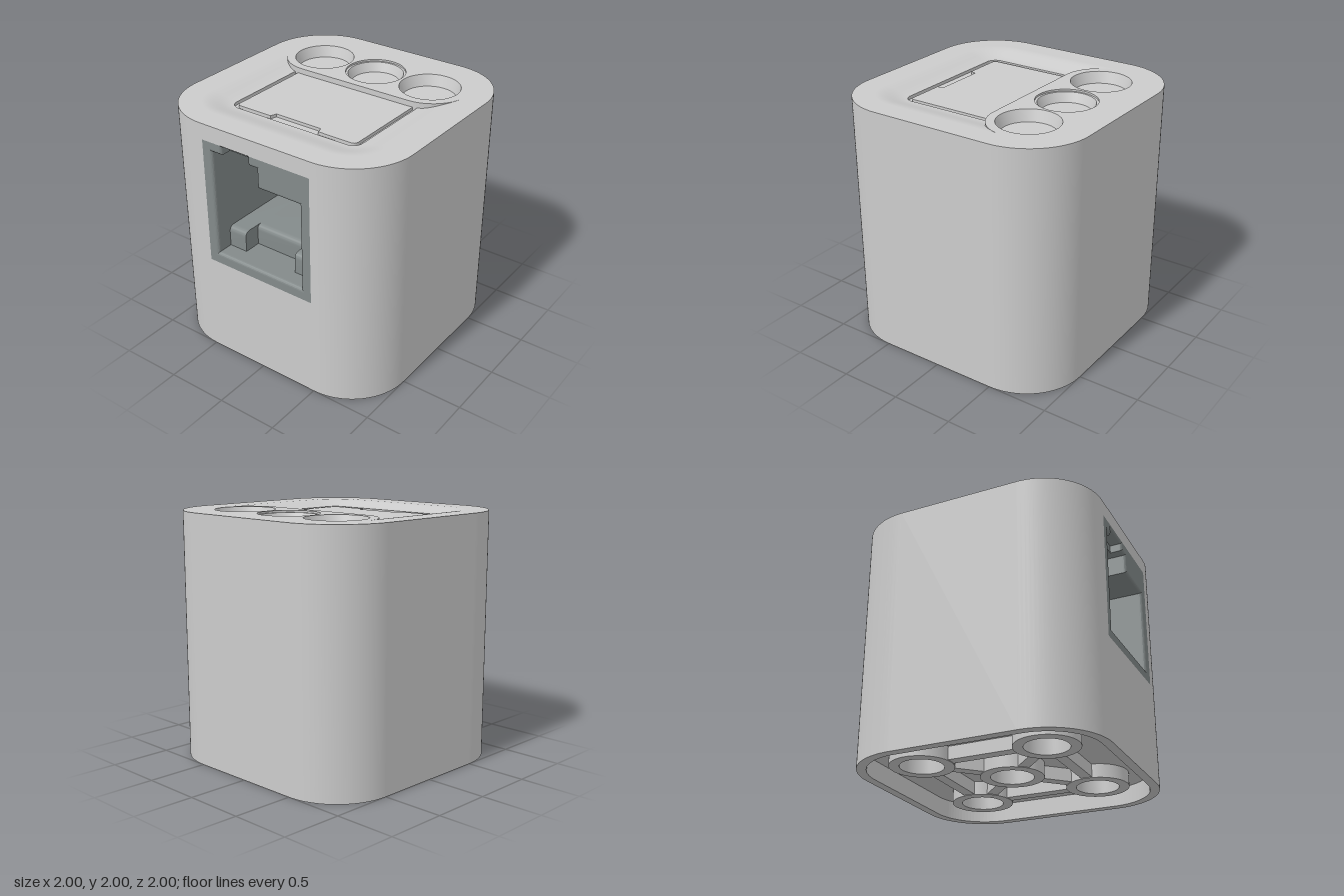
import * as THREE from 'three';
import { toCreasedNormals } from 'three/addons/utils/BufferGeometryUtils.js';

const V2 = (x, y) => new THREE.Vector2(x, y);

// Rounded square path in (x, z), from the right end of the front flat round to its left end
function roundLoop(core, r, n = 24) {
  const pts = [];
  [[1, 1], [1, -1], [-1, -1], [-1, 1]].forEach(([sx, sz], k) => {
    for (let i = 0; i <= n; i++) {
      const a = Math.PI / 2 * (1 - k - i / n);
      pts.push([sx * core + r * Math.cos(a), sz * core + r * Math.sin(a)]);
    }
  });
  return pts;
}

// Surface through equal-length rows of [x, y, z]
function loft(rows) {
  const m = rows[0].length, idx = [];
  for (let i = 0; i < rows.length - 1; i++) {
    for (let j = 0; j < m - 1; j++) {
      const a = i * m + j, c = a + m;
      idx.push(a, a + 1, c, a + 1, c + 1, c);
    }
  }
  const g = new THREE.BufferGeometry();
  g.setAttribute('position', new THREE.Float32BufferAttribute(rows.flat(2), 3));
  g.setIndex(idx);
  g.computeVertexNormals();
  return g;
}

const planShape = (pts) => new THREE.Shape(pts.map(([x, z]) => V2(x, -z)));
const circle = (x, z, r) => new THREE.Path().absarc(x, -z, r, 0, Math.PI * 2);

// Horizontal plate extruded upward from y
function slab(shape, y, h) {
  return new THREE.ExtrudeGeometry(shape, { depth: h, bevelEnabled: false, curveSegments: 32 })
    .rotateX(-Math.PI / 2).translate(0, y, 0);
}

const lathe = (pts) => toCreasedNormals(
  new THREE.LatheGeometry(pts.map(([r, y]) => V2(r, y)), 56), 0.3);

export function createModel() {
  const group = new THREE.Group();
  const shell = new THREE.MeshStandardMaterial({ color: 0xcccccc });
  shell.name = 'light grey shell';
  const dark = new THREE.MeshStandardMaterial({ color: 0x838a8a });
  dark.name = 'dark grey socket';
  const add = (name, geo, mat = shell) => {
    const mesh = new THREE.Mesh(geo, mat);
    mesh.name = name;
    group.add(mesh);
    return mesh;
  };

  // Outer walls, with a flat front panel cut for the socket
  const loop = roundLoop(0.5, 0.5);
  add('outerWall', loft([0, 2].map((y) => loop.map(([x, z]) => [x, y, z]))));
  const front = new THREE.Shape([V2(-0.5, 0), V2(0.5, 0), V2(0.5, 2), V2(-0.5, 2)]);
  front.holes.push(new THREE.Path([V2(-0.485, 0.83), V2(-0.485, 1.87), V2(0.488, 1.87), V2(0.488, 0.83)]));
  add('frontPanel', new THREE.ShapeGeometry(front).translate(0, 0, 1));

  // Top plate with the dish and three button wells cut out
  const R = 0.32, zc = -0.52, floorY = 1.955, n = 20;
  const back = (x) => zc + Math.sqrt(Math.max(0, R * R - Math.max(0, Math.abs(x) - 0.5) ** 2));
  const dish = [];
  for (let i = 0; i <= n; i++) {
    const a = Math.PI * (1 - i / n / 2);
    dish.push([-0.5 + R * Math.cos(a), zc + R * Math.sin(a)]);
  }
  dish.push(...dish.map(([x, z]) => [-x, z]).reverse());
  for (const k of [0, 1]) {
    for (let i = 0; i <= n; i++) {
      const a = Math.PI / 2 * (k + i / n);
      dish.push([(k ? -0.5 : 0.5) + R * Math.cos(a), 0.5 + R * Math.sin(a)]);
    }
  }
  const wells = [-0.505, 0, 0.505], wellZ = -0.51;
  const top = planShape(roundLoop(0.5, 0.499));
  top.holes.push(new THREE.Path(dish.map(([x, z]) => V2(x, -z))));
  wells.forEach((x) => top.holes.push(circle(x, wellZ, 0.24)));
  add('topPlate', slab(top, 1.89, 0.11));

  // Tapered button wells; the middle one has a small step
  wells.forEach((x) => {
    const rim = x === 0 ? [[0.24, 2], [0.24, 1.985], [0.222, 1.985], [0.192, 1.91]] : [[0.24, 2], [0.21, 1.91]];
    add('buttonWell', lathe([...rim, [0, 1.91]])).position.set(x, 0, wellZ);
  });

  // Dish sloping up to the rim, stepping down to the groove round the cover
  const uRow = (r, y) => {
    const row = [], zb = back(0.5 + r);
    row.push([0.5 + r, y, zb]);
    for (const k of [0, 1]) {
      for (let i = 0; i <= n; i++) {
        const a = Math.PI / 2 * (k + i / n);
        row.push([(k ? -0.5 : 0.5) + r * Math.cos(a), y, 0.5 + r * Math.sin(a)]);
      }
    }
    row.push([-0.5 - r, y, zb]);
    return row;
  };
  const dishRows = [uRow(0.08, 1.93)];
  for (let i = 0; i <= 16; i++) {
    const t = i / 16;
    dishRows.push(uRow(0.08 + (R - 0.08) * t, floorY + (2 - floorY) * t * t * (3 - 2 * t)));
  }
  add('dish', toCreasedNormals(loft(dishRows), 0.6));
  add('grooveFloor', new THREE.BoxGeometry(1.18, 0.01, 0.84)).position.set(0, 1.925, 0.17);

  // Cover with a finger notch at its front edge
  const cover = new THREE.Shape();
  cover.moveTo(-0.545, 0.24);
  cover.lineTo(-0.545, -0.5);
  cover.quadraticCurveTo(-0.545, -0.54, -0.505, -0.54);
  [[-0.22, -0.54], [-0.205, -0.49], [0.205, -0.49], [0.22, -0.54], [0.505, -0.54]]
    .forEach(([x, y]) => cover.lineTo(x, y));
  cover.quadraticCurveTo(0.545, -0.54, 0.545, -0.5);
  cover.lineTo(0.545, 0.24);
  add('cover', slab(cover, 1.925, floorY - 1.925));

  // Socket frame and tunnel with a softened opening
  const frame = new THREE.Shape([V2(-0.495, 0.82), V2(0.495, 0.82), V2(0.495, 1.89), V2(-0.495, 1.89)]);
  frame.holes.push(new THREE.Path([
    [-0.425, 0.895], [-0.425, 1.815], [-0.335, 1.815], [-0.335, 1.88], [-0.035, 1.88],
    [-0.035, 1.815], [0.045, 1.815], [0.045, 1.655], [0.425, 1.655], [0.425, 0.895],
  ].map(([x, y]) => V2(x, y))));
  const frameGeo = new THREE.ExtrudeGeometry(frame, {
    depth: 1.14, bevelThickness: 0.025, bevelSize: 0.025, bevelSegments: 4,
  });
  add('socketFrame', frameGeo.translate(0, 0, -0.166), dark);
  add('socketBack', new THREE.BoxGeometry(0.96, 1.05, 0.02), dark).position.set(0, 1.36, -0.14);
  add('latchStop', new THREE.BoxGeometry(0.25, 0.08, 0.3), dark).position.set(-0.185, 1.83, 0.75);

  // Raised socket floor with a rounded shoulder on each side
  const ledge = (name, x0, x1, zFront) => {
    const s = new THREE.Shape();
    s.moveTo(-0.13, 0.91);
    s.lineTo(zFront, 0.91);
    s.lineTo(zFront, 1.04);
    s.quadraticCurveTo(zFront, 1.09, zFront - 0.05, 1.09);
    s.lineTo(-0.13, 1.09);
    const g = new THREE.ExtrudeGeometry(s, { depth: x1 - x0, bevelEnabled: false });
    add(name, toCreasedNormals(g.rotateY(-Math.PI / 2).translate(x1, 0, 0), 0.5), dark);
  };
  ledge('socketFloor', -0.24, 0.235, 0.72);
  ledge('socketShoulder', -0.4, -0.24, 0.86);
  ledge('socketShoulder', 0.235, 0.4, 0.86);

  // Open base: rim, recessed floor, and five ringed holes
  const rim = planShape(roundLoop(0.5, 0.499));
  rim.holes.push(new THREE.Path(roundLoop(0.5, 0.425).map(([x, z]) => V2(x, -z))));
  add('baseRim', slab(rim, 0, 0.17));
  const rings = [[0, 0], [0.51, 0.51], [0.51, -0.51], [-0.51, -0.51], [-0.51, 0.51]];
  const floor = planShape(roundLoop(0.5, 0.43));
  rings.forEach(([x, z]) => floor.holes.push(circle(x, z, 0.17)));
  add('baseFloor', slab(floor, 0.15, 0.02));
  rings.forEach(([x, z]) => {
    const ring = lathe([[0, 0.32], [0.17, 0.32], [0.17, 0.04], [0.25, 0.04], [0.25, 0.16]]);
    add('baseRing', ring).position.set(x, 0, z);
  });

  // Ribs joining the rings
  const rib = (x, z, len, angle) => {
    const m = add('baseRib', new THREE.BoxGeometry(len, 0.11, 0.09));
    m.position.set(x, 0.1, z);
    m.rotation.y = angle;
  };
  for (let k = 0; k < 4; k++) {
    const a = k * Math.PI / 2, d = a + Math.PI / 4;
    rib(0.36 * Math.cos(d), -0.36 * Math.sin(d), 0.26, d);
    rib(0.51 * Math.cos(a), -0.51 * Math.sin(a), 0.56, a + Math.PI / 2);
  }
  return group;
}
